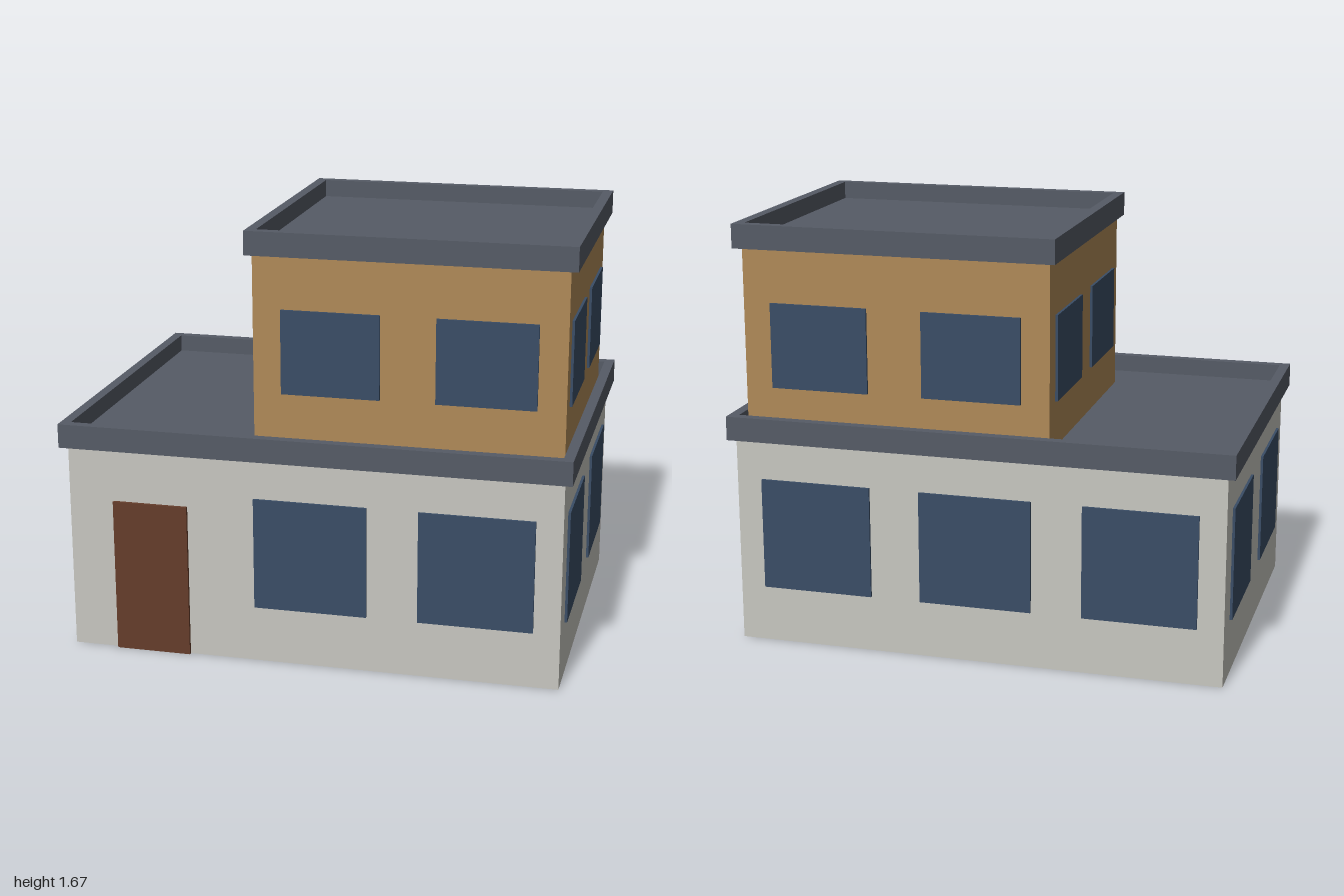
import * as THREE from 'three';

const mat = (name, color) => {
  const m = new THREE.MeshStandardMaterial({ color });
  m.name = name;
  return m;
};

export function createModel() {
  const house = new THREE.Group();
  house.name = 'house';

  const plaster = mat('pale plaster', 0xc8c7c0);
  const timber = mat('tan cladding', 0xb08a58);
  const slate = mat('slate roof', 0x565b66);
  const glass = mat('blue glass', 0x3a4d66);
  const wood = mat('brown door', 0x653d2b);

  // Box given by its minimum and maximum corners
  function box(name, material, [x0, y0, z0], [x1, y1, z1], parent = house) {
    const mesh = new THREE.Mesh(new THREE.BoxGeometry(x1 - x0, y1 - y0, z1 - z0), material);
    mesh.position.set((x0 + x1) / 2, (y0 + y1) / 2, (z0 + z1) / 2);
    mesh.name = name;
    parent.add(mesh);
  }

  // Flat roof: raised parapet ring around a recessed deck
  function roof(name, x0, x1, z0, z1, y0, y1) {
    const group = new THREE.Group();
    group.name = name;
    const rim = 0.04;
    const rect = (path, a, b, c, d) =>
      path.moveTo(a, c).lineTo(b, c).lineTo(b, d).lineTo(a, d).closePath();
    const shape = rect(new THREE.Shape(), x0, x1, -z1, -z0);
    shape.holes.push(rect(new THREE.Path(), x0 + rim, x1 - rim, -z1 + rim, -z0 - rim));
    const geo = new THREE.ExtrudeGeometry(shape, { depth: y1 - y0, bevelEnabled: false });
    geo.rotateX(-Math.PI / 2).translate(0, y0, 0);
    const parapet = new THREE.Mesh(geo, slate);
    parapet.name = 'parapet';
    group.add(parapet);
    box('roofDeck', slate, [x0 + rim, y0, z0 + rim], [x1 - rim, y0 + 0.025, z1 - rim], group);
    house.add(group);
  }

  const out = 0.01; // how far panes stand off the wall

  // Panes on a wall facing +z or -z, listed by their x centres
  function panesZ(name, wallZ, side, centres, width, y0, y1) {
    const z = [wallZ, wallZ + side * out].sort((a, b) => a - b);
    for (const c of centres)
      box(name, glass, [c - width / 2, y0, z[0]], [c + width / 2, y1, z[1]]);
  }

  // Panes on a wall facing +x or -x, listed by their z centres
  function panesX(name, wallX, side, centres, width, y0, y1) {
    const x = [wallX, wallX + side * out].sort((a, b) => a - b);
    for (const c of centres)
      box(name, glass, [x[0], y0, c - width / 2], [x[1], y1, c + width / 2]);
  }

  // Ground floor
  box('groundFloorWalls', plaster, [-0.97, 0, -0.695], [0.97, 0.825, 0.695]);
  roof('lowerRoof', -1, 1, -0.72, 0.72, 0.825, 0.92);
  box('frontDoor', wood, [-0.79, 0, 0.695], [-0.49, 0.615, 0.708]);
  panesZ('groundFrontWindow', 0.695, 1, [0, 0.645], 0.445, 0.225, 0.67);
  panesZ('groundBackWindow', -0.695, -1, [-0.645, 0, 0.645], 0.445, 0.225, 0.67);
  for (const s of [-1, 1])
    panesX('groundSideWindow', s * 0.97, s, [-0.348, 0.348], 0.445, 0.225, 0.67);

  // Upper floor
  box('upperFloorWalls', timber, [-0.28, 0.85, -0.64], [0.94, 1.575, 0.473]);
  roof('upperRoof', -0.305, 0.97, -0.668, 0.5, 1.575, 1.67);
  panesZ('upperFrontWindow', 0.473, 1, [0.027, 0.635], 0.39, 1.03, 1.365);
  panesZ('upperBackWindow', -0.64, -1, [0.027, 0.635], 0.39, 1.03, 1.365);
  panesX('upperLeftWindow', 0.94, 1, [0.195, -0.362], 0.39, 1.03, 1.365);
  panesX('upperRightWindow', -0.28, -1, [0.195, -0.362], 0.39, 1.03, 1.365);

  return house;
}
